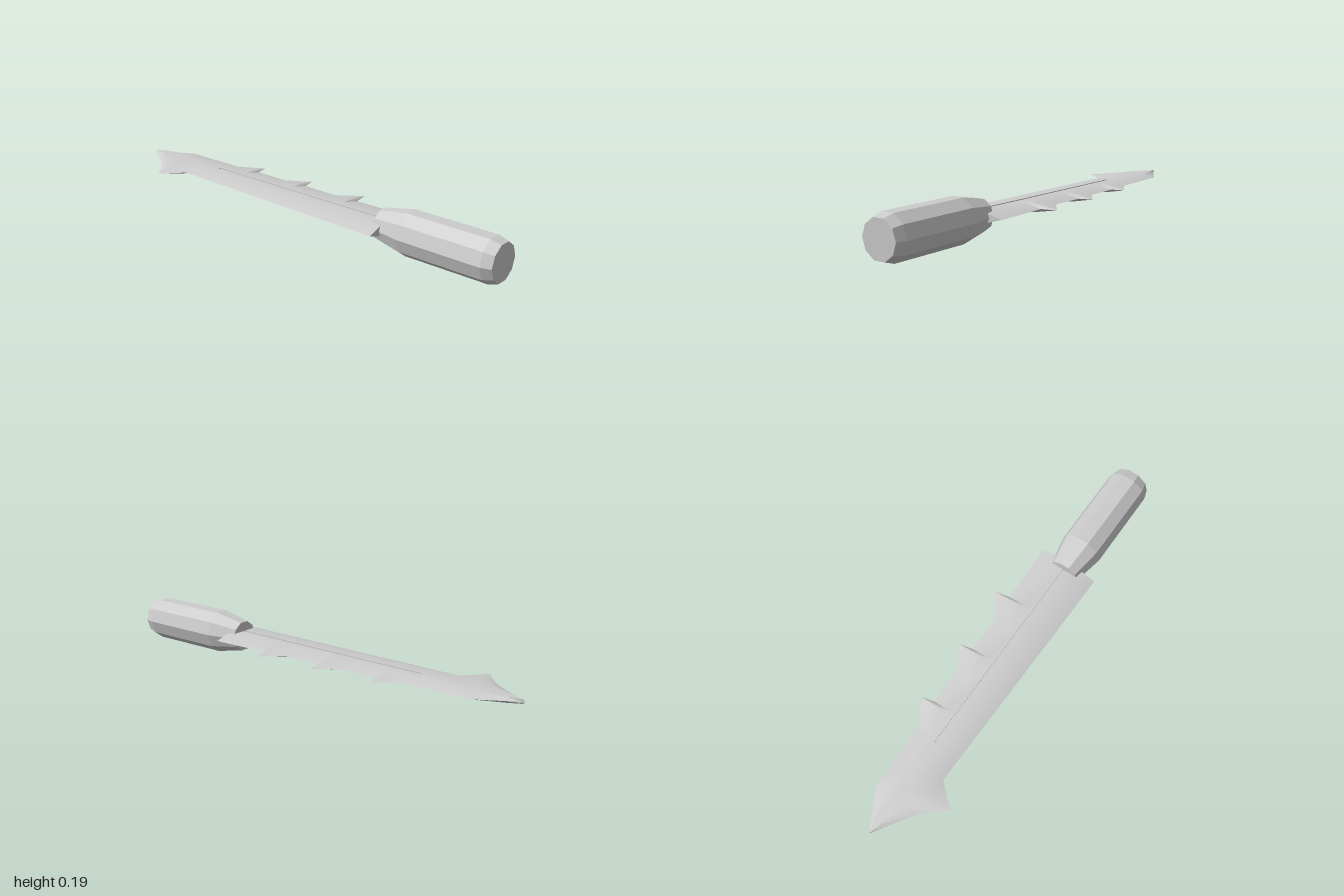
import * as THREE from 'three';
import { toCreasedNormals } from 'three/addons/utils/BufferGeometryUtils.js';

const MID_Y = 0.0935;
const MID_X = 0.006;

// Closed skin over cross-section rings that run from +z to -z
function skin(rings) {
  const pos = [];
  const tri = (a, b, c) => {
    const area = b.clone().sub(a).cross(c.clone().sub(a)).length();
    if (area > 1e-9) for (const p of [a, b, c]) pos.push(p.x, p.y, p.z);
  };
  const n = rings[0].length;
  for (let i = 0; i < rings.length - 1; i++) {
    for (let j = 0; j < n; j++) {
      const k = (j + 1) % n;
      tri(rings[i][j], rings[i][k], rings[i + 1][k]);
      tri(rings[i][j], rings[i + 1][k], rings[i + 1][j]);
    }
  }
  const centre = new THREE.Vector3(MID_X, MID_Y, rings[0][0].z);
  for (let j = 0; j < n; j++) tri(centre, rings[0][(j + 1) % n], rings[0][j]);
  const geo = new THREE.BufferGeometry();
  geo.setAttribute('position', new THREE.Float32BufferAttribute(pos, 3));
  return toCreasedNormals(geo, 0.5);
}

// Bevelled blade section with a narrow groove down the middle
function section([z, left, right, innerL, innerR, half, groove = 0]) {
  const g = Math.min(0.006, (right - left) / 2);
  const top = [
    [innerL, half], [MID_X - g, half], [MID_X - g, half - groove],
    [MID_X + g, half - groove], [MID_X + g, half], [innerR, half],
  ];
  const bottom = top.map(([x, y]) => [x, -y]).reverse();
  return [[left, 0], ...top, [right, 0], ...bottom]
    .map(([x, y]) => new THREE.Vector3(x, MID_Y + y, z));
}

function bladeGeometry() {
  const D = 0.004;
  // z, left edge, right edge, left bevel, right bevel, half thickness, groove depth
  const rows = [
    [0.47, -0.132, 0.145, -0.06, 0.06, 0.024],
    [0.431, -0.131, 0.144, -0.06, 0.06, 0.024],
    [0.43, -0.131, 0.144, -0.06, 0.06, 0.024, D],
  ];
  // three hooked teeth: sharp step, point, then a slope back to the edge
  const teeth = [
    [0.19, 0.175, 0.07, 0.137, 0.208, 0.129],
    [-0.105, -0.12, -0.225, 0.129, 0.192, 0.122],
    [-0.395, -0.41, -0.52, 0.122, 0.181, 0.114],
  ];
  for (const [zStep, zPoint, zEnd, xStep, xPoint, xEnd] of teeth) {
    const left = z => -0.124 - 0.019 * z;
    const half = z => 0.0205 + 0.0065 * z;
    rows.push([zStep, left(zStep), xStep, -0.06, 0.047, half(zStep), D]);
    rows.push([zPoint, left(zPoint), xPoint, -0.06, 0.085, half(zPoint), D]);
    rows.push([zEnd, left(zEnd), xEnd, -0.06, 0.055, half(zEnd), D]);
  }
  // end of groove, side spike and point
  rows.push(
    [-0.54, -0.113, 0.113, -0.06, 0.055, 0.017, D],
    [-0.541, -0.113, 0.113, -0.06, 0.055, 0.017],
    [-0.65, -0.112, 0.109, -0.06, 0.055, 0.0165],
    [-0.735, -0.21, 0.107, -0.09, 0.055, 0.016],
    [-0.78, -0.155, 0.106, -0.075, 0.053, 0.0155],
    [-0.83, -0.107, 0.104, -0.055, 0.05, 0.015],
    [-0.94, -0.034, 0.041, -0.014, 0.024, 0.012],
    [-1, MID_X, MID_X, MID_X, MID_X, 0.008],
  );
  return skin(rows.map(section));
}

// Ten-sided grip, chamfered at the end and tapered towards the blade
function handleGeometry() {
  const profile = [[0, 0.43], [0.07, 0.43], [0.098, 0.57], [0.098, 0.955], [0.084, 1], [0, 1]]
    .map(([r, z]) => new THREE.Vector2(r, z));
  const geo = new THREE.LatheGeometry(profile, 10, Math.PI / 2)
    .rotateX(Math.PI / 2)
    .translate(MID_X, MID_Y, 0)
    .toNonIndexed();
  geo.computeVertexNormals();
  return geo;
}

export function createModel() {
  const grey = new THREE.MeshStandardMaterial({ color: 0xcccccc });
  grey.name = 'light grey';
  const group = new THREE.Group();
  group.name = 'toothedSword';
  for (const [name, geo] of [['blade', bladeGeometry()], ['handle', handleGeometry()]]) {
    const mesh = new THREE.Mesh(geo, grey);
    mesh.name = name;
    group.add(mesh);
  }
  return group;
}
